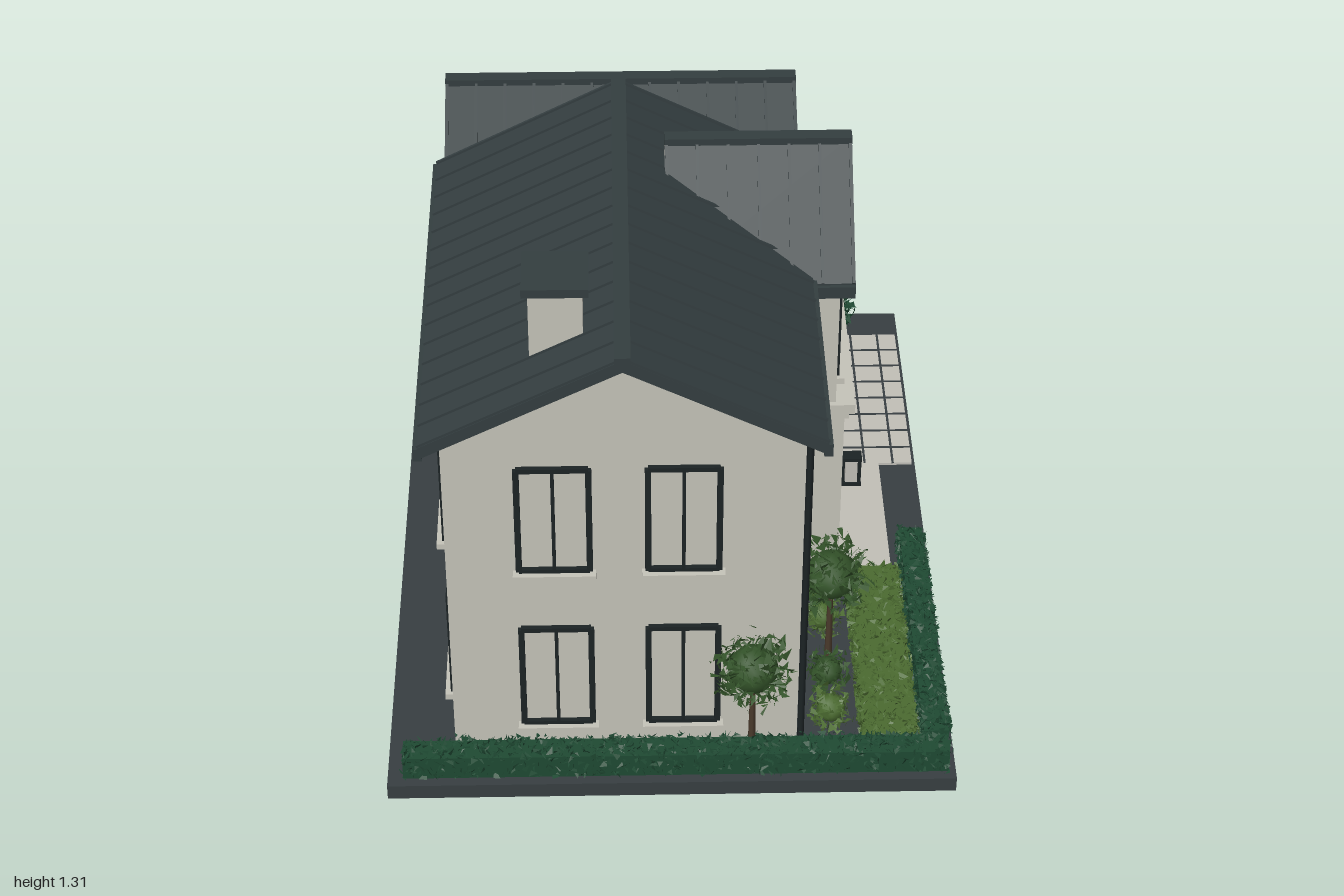
import * as THREE from 'three';

const mat = (name, color, side = THREE.FrontSide) => {
  const m = new THREE.MeshStandardMaterial({ color, side });
  m.name = name;
  return m;
};
const M = {
  wall: mat('render wall', 0xc6c4ba),
  roof: mat('metal roof', 0x343e40),
  frame: mat('dark frame', 0x1c2325),
  wood: mat('timber', 0x74401f),
  slab: mat('ground slab', 0x383f42),
  stone: mat('pale stone', 0xc2c0b8),
  hedge: mat('hedge green', 0x1f4a33, THREE.DoubleSide),
  leaf: mat('leaf green', 0x34542a, THREE.DoubleSide),
  lawn: mat('lawn green', 0x4b6b30, THREE.DoubleSide),
  trunk: mat('bark', 0x4a3a2c),
};

let seed = 7;
const rnd = () => (seed = (seed * 16807) % 2147483647) / 2147483647;
const spread = () => rnd() * 2 - 1;

export function createModel() {
  const model = new THREE.Group();
  const house = new THREE.Group();
  house.name = 'houseOnPlot';
  house.rotation.y = -0.119;
  model.add(house);

  const add = (name, geo, m, x = 0, y = 0, z = 0, parent = house) => {
    const mesh = new THREE.Mesh(geo, m);
    mesh.name = name;
    mesh.position.set(x, y, z);
    parent.add(mesh);
    return mesh;
  };
  // box given by its minimum and maximum on each axis
  const box = (name, m, x0, x1, y0, y1, z0, z1, parent = house) =>
    add(name, new THREE.BoxGeometry(x1 - x0, y1 - y0, z1 - z0), m,
      (x0 + x1) / 2, (y0 + y1) / 2, (z0 + z1) / 2, parent);
  const extrude = (pts, depth) => new THREE.ExtrudeGeometry(
    new THREE.Shape(pts.map(p => new THREE.Vector2(...p))), { depth, bevelEnabled: false });

  // gabled volume: walls, roof sheet, ridge cap and standing seams; runs along local z
  function gable(name, o) {
    const g = new THREE.Group();
    g.name = name;
    house.add(g);
    const { w, h, eave, ridge, wall, roof } = o, t = 0.032, k = (ridge - eave) / h;
    const top = ridge - t * 0.6, side = top - k * w;
    add(name + 'Walls', extrude([[-w, 0.04], [w, 0.04], [w, side], [0, top], [-w, side]], wall[1] - wall[0]),
      M.wall, 0, 0, wall[0], g);
    add(name + 'Roof', extrude([[-h, eave - t], [0, ridge - t], [h, eave - t], [h, eave], [0, ridge], [-h, eave]],
      roof[1] - roof[0]), M.roof, 0, 0, roof[0], g);
    box(name + 'RidgeCap', M.roof, -0.018, 0.018, ridge - 0.012, ridge + 0.006, roof[0], roof[1], g);
    const len = Math.hypot(h, ridge - eave), n = Math.round((roof[1] - roof[0]) / 0.075);
    for (const s of [-1, 1]) {
      for (let i = 0; i <= n; i++) {
        const z = roof[0] + 0.005 + (roof[1] - roof[0] - 0.01) * i / n;
        add('roofSeam', new THREE.BoxGeometry(len, 0.012, 0.007), M.roof, s * h / 2, (ridge + eave) / 2, z, g)
          .rotation.z = -s * Math.atan(k);
      }
      box('gutter', M.roof, s * h - 0.01, s * h + 0.01, eave - t - 0.004, eave - 0.004, roof[0], roof[1], g);
    }
    return g;
  }

  // the three volumes of the house
  gable('mainWing', { w: 0.4075, h: 0.453, eave: 0.985, ridge: 1.22, wall: [-0.265, 0.79], roof: [-0.3, 0.832] })
    .position.x = -0.1075;
  const entry = gable('entryGable', { w: 0.225, h: 0.262, eave: 0.975, ridge: 1.22, wall: [0.0, 0.415], roof: [0.0, 0.447] });
  entry.rotation.y = Math.PI / 2;
  entry.position.z = -0.042;
  const garage = gable('garageWing', { w: 0.267, h: 0.316, eave: 0.885, ridge: 1.08, wall: [-0.515, 0.32], roof: [-0.545, 0.343] });
  garage.rotation.y = Math.PI / 2;
  garage.position.z = -0.54;

  // chimney
  box('chimneyStack', M.wall, -0.313, -0.193, 1.05, 1.29, 0.56, 0.68);
  box('chimneyCap', M.roof, -0.327, -0.179, 1.288, 1.31, 0.546, 0.694);

  // framed window facing local +z: outer frame, mullions, transoms and sill
  const turns = { side: 0, front: Math.PI / 2, far: Math.PI, back: -Math.PI / 2 };
  function win(name, face, x, z, y0, y1, w, cols, rows = 1, sill = true) {
    const g = new THREE.Group();
    g.name = name;
    g.rotation.y = turns[face];
    g.position.set(x, 0, z);
    house.add(g);
    for (let i = 0; i <= cols; i++) {
      const e = i % cols ? 0.004 : 0.007, c = -w / 2 + w * i / cols;
      box('windowUpright', M.frame, c - e, c + e, y0, y1, -0.005, 0.012, g);
    }
    for (let j = 0; j <= rows; j++) {
      const c = y0 + (y1 - y0) * j / rows;
      box('windowRail', M.frame, -w / 2, w / 2, c - 0.006, c + 0.006, -0.005, 0.012, g);
    }
    if (sill) box('windowSill', M.wall, -w / 2 - 0.014, w / 2 + 0.014, y0 - 0.02, y0 - 0.004, -0.005, 0.025, g);
  }
  for (const [lo, hi] of [[0.12, 0.415], [0.595, 0.89]]) {
    for (const x of [-0.267, 0.028]) win('sideWindow', 'side', x, 0.79, lo, hi, 0.162, 2);
    win('backWindowMiddle', 'back', -0.515, 0.078, lo, hi, 0.33, 3);
    win('backWindowEnd', 'back', -0.515, 0.547, lo, hi, 0.27, 3);
    win('backWindowGarage', 'back', -0.515, -0.505, lo, Math.min(hi, 0.85), 0.24, 3);
    win('farWindow', 'far', -0.255, -0.807, lo, Math.min(hi, 0.85), 0.24, 2);
  }
  win('tallFrontWindow', 'front', 0.3, 0.52, 0.1, 0.905, 0.32, 3, 2, false);
  win('entryWindow', 'front', 0.415, -0.042, 0.62, 0.925, 0.3, 3);
  win('garageWindow', 'front', 0.32, -0.534, 0.595, 0.845, 0.387, 4);

  // entrance: pilasters, cornice, door, sidelights
  for (const z of [-0.237, 0.153]) box('pilaster', M.wall, 0.4, 0.438, 0.04, 0.56, z - 0.03, z + 0.03);
  box('corniceLower', M.wall, 0.4, 0.448, 0.545, 0.565, -0.275, 0.19);
  box('corniceUpper', M.wall, 0.4, 0.462, 0.565, 0.592, -0.282, 0.197);
  box('frontDoor', M.wood, 0.41, 0.422, 0.08, 0.535, -0.132, 0.05);
  for (const z of [-0.197, -0.165, -0.136, 0.054, 0.084, 0.115])
    box('doorFramePost', M.frame, 0.41, 0.427, 0.075, 0.545, z - 0.007, z + 0.007);
  box('doorFrameHead', M.frame, 0.41, 0.427, 0.533, 0.546, -0.2, 0.12);
  box('doorHandle', M.frame, 0.42, 0.434, 0.24, 0.35, -0.11, -0.102);

  // garage door with panels and transom lights
  box('garageDoor', M.wood, 0.31, 0.327, 0.075, 0.385, -0.762, -0.305);
  for (const y of [0.075, 0.152, 0.23, 0.308, 0.387])
    box('garageDoorRail', M.frame, 0.31, 0.33, y - 0.004, y + 0.004, -0.768, -0.3);
  for (const z of [-0.766, -0.302]) box('garageDoorPost', M.frame, 0.31, 0.332, 0.07, 0.395, z - 0.007, z + 0.007);
  for (const y of [0.408, 0.47]) box('transomRail', M.frame, 0.31, 0.332, y - 0.008, y + 0.008, -0.77, -0.3);
  for (let i = 0; i <= 9; i++) {
    const z = -0.766 + 0.464 * i / 9;
    box('transomBar', M.frame, 0.31, 0.331, 0.405, 0.47, z - 0.008, z + 0.008);
  }

  // sloping canopy over the garage
  const canopy = new THREE.Group();
  canopy.name = 'garageCanopy';
  canopy.position.set(0.31, 0.545, -0.54);
  canopy.rotation.z = -0.26;
  house.add(canopy);
  box('canopySheet', M.roof, 0, 0.115, -0.012, 0.004, -0.3, 0.275, canopy);
  for (let i = 0; i <= 9; i++) box('canopySeam', M.roof, 0, 0.117, 0, 0.011, -0.3 + i * 0.063, -0.293 + i * 0.063, canopy);
  box('canopyFascia', M.roof, 0.108, 0.118, -0.02, 0.006, -0.3, 0.275, canopy);

  // wall lamps
  for (const [x, z] of [[0.438, 0.153], [0.32, -0.285], [0.32, -0.79]]) {
    box('lampBody', M.stone, x + 0.01, x + 0.045, 0.32, 0.39, z - 0.012, z + 0.012);
    for (const y of [0.312, 0.39]) box('lampCap', M.frame, x, x + 0.05, y, y + 0.01, z - 0.016, z + 0.016);
    for (const s of [-1, 1]) box('lampBar', M.frame, x + 0.04, x + 0.049, 0.32, 0.39, z + s * 0.012 - 0.003, z + s * 0.012 + 0.003);
    box('lampBack', M.frame, x - 0.004, x + 0.008, 0.315, 0.395, z - 0.014, z + 0.014);
  }

  // downpipes
  for (const [x, z, h] of [[0.312, 0.2, 0.96], [0.332, -0.28, 0.87], [0.332, -0.798, 0.87], [0.31, 0.775, 0.96]])
    add('downpipe', new THREE.CylinderGeometry(0.008, 0.008, h - 0.04, 8), M.frame, x, (h + 0.04) / 2, z);

  // plot, driveway, steps
  box('groundSlab', M.slab, -0.672, 0.672, 0, 0.04, -0.925, 0.925);
  box('driveway', M.stone, 0.3, 0.664, 0.038, 0.047, -0.815, -0.245);
  for (let i = 1; i < 5; i++) box('pavingJoint', M.slab, 0.31 + i * 0.075, 0.316 + i * 0.075, 0.045, 0.0485, -0.815, -0.245);
  for (let i = 1; i < 8; i++) box('pavingJoint', M.slab, 0.3, 0.664, 0.045, 0.0485, -0.818 + i * 0.072, -0.812 + i * 0.072);
  box('path', M.stone, 0.4, 0.575, 0.038, 0.048, -0.26, 0.17);
  box('lowerStep', M.stone, 0.4, 0.53, 0.04, 0.06, -0.265, 0.185);
  box('upperStep', M.stone, 0.4, 0.49, 0.06, 0.078, -0.255, 0.175);

  // cloud of small leaf triangles; place() returns a centre for each leaf
  function leaves(name, m, count, size, place) {
    const pos = new Float32Array(count * 9);
    for (let i = 0; i < count; i++) {
      const c = place();
      for (let j = 0; j < 9; j++) pos[i * 9 + j] = c[j % 3] + spread() * size;
    }
    const geo = new THREE.BufferGeometry();
    geo.setAttribute('position', new THREE.BufferAttribute(pos, 3));
    geo.computeVertexNormals();
    add(name, geo, m);
  }
  // clipped hedge: solid core covered in leaves
  function hedge(name, m, x0, x1, y1, z0, z1, count) {
    box(name + 'Core', m, x0, x1, 0.04, y1 - 0.008, z0, z1);
    leaves(name + 'Leaves', m, count, 0.012, () => {
      const p = [x0 + rnd() * (x1 - x0), 0.046 + rnd() * (y1 - 0.05), z0 + rnd() * (z1 - z0)];
      const f = rnd();
      if (f < 0.4) p[1] = y1 - 0.006;
      else if (z1 - z0 > x1 - x0) p[0] = f < 0.7 ? x0 : x1;
      else p[2] = f < 0.7 ? z0 : z1;
      p[1] = Math.min(p[1], y1 - 0.004);
      return p;
    });
  }
  hedge('sideHedge', M.hedge, -0.635, 0.655, 0.112, 0.84, 0.9, 2200);
  hedge('frontHedge', M.hedge, 0.598, 0.657, 0.122, 0.1, 0.84, 1600);
  hedge('lawn', M.lawn, 0.458, 0.59, 0.07, 0.185, 0.83, 1800);

  // round plants
  function ball(name, m, x, y, z, rx, ry, count, size) {
    add(name + 'Core', new THREE.IcosahedronGeometry(0.6, 1), m, x, y, z).scale.set(rx, ry, rx);
    leaves(name + 'Leaves', m, count, size, () => {
      const v = new THREE.Vector3(spread(), spread(), spread()).normalize().multiplyScalar(0.5 + 0.45 * rnd());
      return [x + v.x * rx, y + v.y * ry, z + v.z * rx];
    });
  }
  for (const [x, z, r] of [[0.19, 0.835, 0.1], [0.393, 0.507, 0.108]]) {
    add('treeTrunk', new THREE.CylinderGeometry(0.006, 0.01, 0.24, 7), M.trunk, x, 0.16, z);
    ball('treeCrown', M.leaf, x, 0.318, z, r, 0.1, 420, 0.017);
  }
  [0.27, 0.4, 0.6, 0.73].forEach((z, i) =>
    ball('bedShrub', i % 2 ? M.lawn : M.leaf, 0.385, 0.09, z, 0.058, 0.06, 180, 0.014));
  [-0.357, -0.146, 0.076, 0.277].forEach((x, i) =>
    ball('farShrub', i % 2 ? M.leaf : M.hedge, x, 0.085, -0.872, 0.048, 0.05, 160, 0.013));
  ball('drivewayShrub', M.hedge, 0.492, 0.1, -0.852, 0.063, 0.062, 240, 0.014);

  return model;
}
